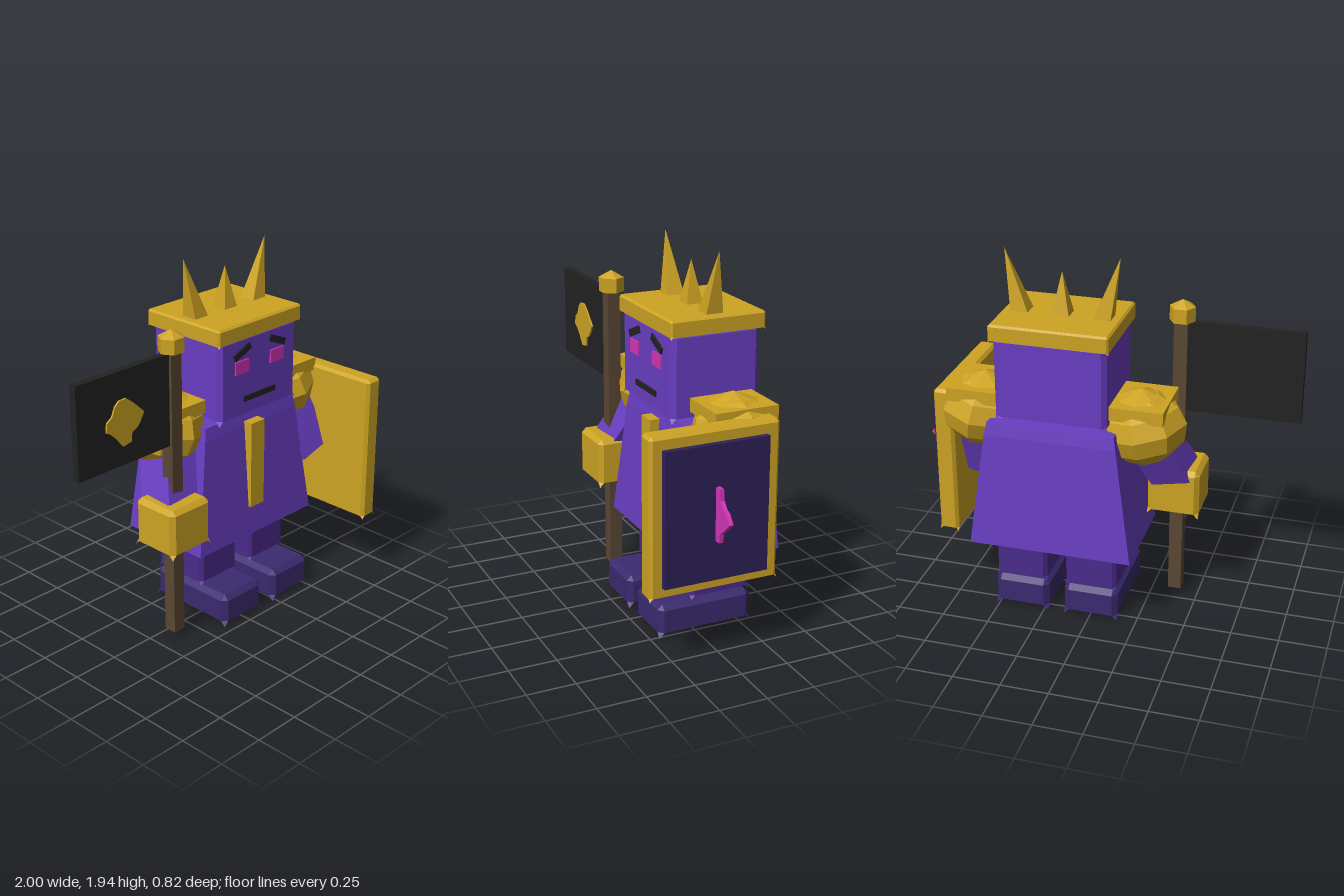
import * as THREE from 'three';

const mat = (name, color) => Object.assign(new THREE.MeshStandardMaterial({ color }), { name });

export function createModel() {
  const purple = mat('robe purple', 0x693ec2);
  const violet = mat('trouser violet', 0x4b2b8c);
  const indigo = mat('boot indigo', 0x3b2a70);
  const navy = mat('shield navy', 0x2e2159);
  const gold = mat('gold', 0xcea424);
  const black = mat('black', 0x222222);
  const pink = mat('pink', 0xd434b6);
  const wood = mat('wood', 0x5a4734);

  const group = new THREE.Group();
  const CX = 0.183; // mid plane of the figure

  // Adds a faceted mesh
  function add(name, geo, material, x = 0, y = 0, z = 0, parent = group) {
    const g = geo.index ? geo.toNonIndexed() : geo;
    g.computeVertexNormals();
    const m = new THREE.Mesh(g, material);
    m.name = name;
    m.position.set(x, y, z);
    parent.add(m);
    return m;
  }

  // Joins rings (counter-clockwise from above, bottom to top) and caps the ends
  function loft(rings, extra = []) {
    const p = [];
    const tri = (...v) => v.forEach((q) => p.push(...q));
    const n = rings[0].length;
    for (let r = 0; r + 1 < rings.length; r++) {
      for (let i = 0; i < n; i++) {
        const j = (i + 1) % n, lo = rings[r], hi = rings[r + 1];
        tri(lo[i], lo[j], hi[j]);
        tri(lo[i], hi[j], hi[i]);
      }
    }
    const b = rings[0], t = rings[rings.length - 1];
    for (let i = 1; i + 1 < n; i++) {
      tri(b[0], b[i + 1], b[i]);
      tri(t[0], t[i], t[i + 1]);
    }
    extra.forEach((e) => tri(...e));
    const g = new THREE.BufferGeometry();
    g.setAttribute('position', new THREE.Float32BufferAttribute(p, 3));
    return g;
  }

  // Rectangle ring with cut corners
  const cutRing = (hx, hz, c, y) => [
    [hx, y, c - hz], [hx - c, y, -hz], [c - hx, y, -hz], [-hx, y, c - hz],
    [-hx, y, hz - c], [c - hx, y, hz], [hx - c, y, hz], [hx, y, hz - c],
  ];
  const rect = (x0, x1, z0, z1, y) => [[x1, y, z0], [x0, y, z0], [x0, y, z1], [x1, y, z1]];

  // Chamfered block with a recessed underside and small corner points
  function block(name, material, x0, x1, y0, y1, z0, z1, c) {
    const hx = (x1 - x0) / 2, hz = (z1 - z0) / 2;
    const low = cutRing(hx, hz, c, y0 + c);
    const corners = [[hx, y0, -hz], [-hx, y0, -hz], [-hx, y0, hz], [hx, y0, hz]];
    const tips = corners.flatMap((k, i) => {
      const a = low[2 * i], b = low[2 * i + 1];
      return [[k, b, a], [k, a, b]];
    });
    const geo = loft([
      cutRing(hx - c, hz - c, 0, y0 + 2 * c), low,
      cutRing(hx, hz, c, y1 - c), cutRing(hx - c, hz - c, 0, y1),
    ], tips);
    return add(name, geo, material, (x0 + x1) / 2, 0, (z0 + z1) / 2);
  }

  // Plain box given by its limits
  const box = (name, material, x0, x1, y0, y1, z0, z1) =>
    add(name, new THREE.BoxGeometry(x1 - x0, y1 - y0, z1 - z0), material,
      (x0 + x1) / 2, (y0 + y1) / 2, (z0 + z1) / 2);

  // Flat plate cut from an outline
  const plate = (points, depth) => new THREE.ExtrudeGeometry(
    new THREE.Shape(points.map(([x, y]) => new THREE.Vector2(x, y))), { depth, bevelEnabled: false });

  // Legs and boots
  for (const s of [-1, 1]) {
    const x = CX + s * 0.188;
    block('leg', violet, x - 0.137, x + 0.137, 0.175, 0.5, -0.3, 0.025, 0.02);
    block('boot', indigo, x - 0.145, x + 0.145, 0, 0.175, -0.31, 0.205, 0.027);
  }

  // Robe with narrow collar, and sash
  add('robe', loft([
    rect(-0.245, 0.61, -0.412, 0.122, 0.42),
    rect(-0.16, 0.525, -0.378, 0.075, 1.035),
    rect(-0.147, 0.513, -0.365, 0.065, 1.1),
  ]), purple);
  box('sash', gold, 0.13, 0.23, 0.58, 1.06, 0.04, 0.125);

  // Head and face
  block('head', purple, -0.105, 0.472, 1.11, 1.56, -0.355, 0.122, 0.025);
  box('mouth', black, 0.068, 0.302, 1.203, 1.232, 0.122, 0.131);
  for (const s of [-1, 1]) {
    const x = CX + s * 0.13;
    box('eye', pink, x - 0.049, x + 0.049, 1.36, 1.43, 0.122, 0.131);
    add('eyebrow', new THREE.BoxGeometry(0.125, 0.036, 0.009), black, x, 1.476, 0.1275)
      .rotation.z = -s * 0.4;
  }

  // Crown band and spikes leaning outward
  block('crownBand', gold, -0.122, 0.488, 1.535, 1.628, -0.375, 0.135, 0.01);
  for (const s of [-1, 0, 1]) {
    const x = CX + s * 0.21, h = 0.046, z = -0.12;
    const tip = [CX + s * 0.295, s ? 1.94 : 1.845, z];
    add('crownSpike', loft([rect(x - h, x + h, z - h, z + h, 1.62), [tip, tip, tip, tip]]), gold);
  }

  // Pauldrons: faceted ball, square plate and pointed cap
  for (const s of [-1, 1]) {
    const x = CX + s * 0.412, z = -0.145;
    const ball = new THREE.SphereGeometry(1, 8, 6);
    ball.scale(0.225, 0.185, 0.225);
    add('pauldronBall', ball, gold, x + s * 0.015, 1.075, z).rotation.z = s * 0.2;
    box('pauldronPlate', gold, x - 0.15, x + 0.15, 1.165, 1.235, z - 0.165, z + 0.17);
    add('pauldronCap', new THREE.ConeGeometry(0.13, 0.052, 8), gold, x, 1.259, z);
  }

  // Arms run down and forward from the shoulders
  function arm(name, from, to, w) {
    const a = new THREE.Vector3(...from), d = new THREE.Vector3(...to).sub(a);
    const m = add(name, new THREE.BoxGeometry(w, d.length(), w), purple,
      a.x + d.x / 2, a.y + d.y / 2, a.z + d.z / 2);
    m.quaternion.setFromUnitVectors(new THREE.Vector3(0, -1, 0), d.normalize());
  }
  arm('rightArm', [-0.23, 1.08, -0.13], [-0.38, 0.73, 0.04], 0.2);
  arm('leftArm', [0.58, 1.08, -0.13], [0.68, 0.7, 0.01], 0.22);

  // Right glove gripping the banner pole
  const PX = -0.38, PZ = 0.065;
  block('glove', gold, -0.517, -0.245, 0.54, 0.803, -0.07, 0.2, 0.024);
  box('pole', wood, PX - 0.035, PX + 0.035, 0.04, 1.6, PZ - 0.035, PZ + 0.035);
  add('finial', new THREE.CylinderGeometry(0.066, 0.066, 0.075, 6), gold, PX, 1.618, PZ).rotation.y = Math.PI / 6;
  add('finialTip', new THREE.ConeGeometry(0.066, 0.037, 6), gold, PX, 1.674, PZ).rotation.y = Math.PI / 6;

  // Banner with ragged badge on the front
  box('banner', black, -1, PX, 1.1, 1.58, PZ - 0.02, PZ + 0.02);
  add('bannerBadge', plate([
    [0.01, 0.12], [0.05, 0.09], [0.123, 0.02], [0.1, -0.02], [0.12, 0.01], [0.08, -0.045],
    [0.043, -0.065], [0.038, -0.11], [-0.015, -0.12], [-0.05, -0.075], [-0.09, -0.035],
    [-0.118, -0.02], [-0.112, 0.027], [-0.08, 0.048], [-0.06, 0.095], [-0.035, 0.117],
  ].filter((p, i) => i !== 4), 0.009), gold, -0.712, 1.32, PZ + 0.02);

  // Shield on the left arm with an upright crest
  block('shieldFrame', gold, 0.732, 0.835, 0.385, 1.2, -0.272, 0.407, 0.016);
  box('shieldPanel', navy, 0.82, 0.865, 0.452, 1.135, -0.2, 0.345);
  add('shieldCrest', plate([
    [0.84, 0.655], [0.902, 0.655], [0.908, 0.7], [0.95, 0.735], [1, 0.782],
    [0.965, 0.825], [0.94, 0.835], [0.908, 0.87], [0.902, 0.925], [0.84, 0.925],
  ], 0.022), pink, 0, 0, 0.06);

  return group;
}
